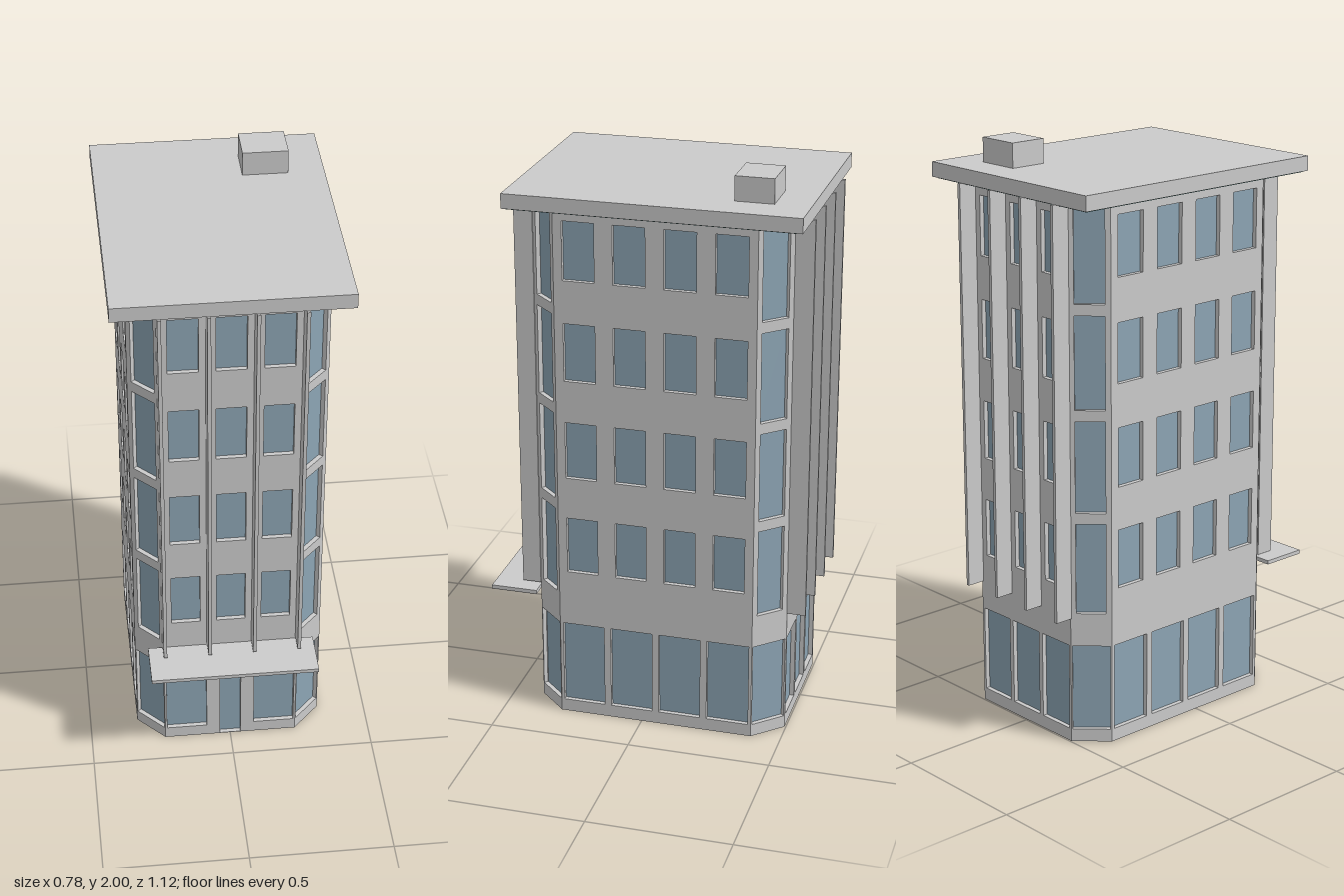
import * as THREE from 'three';

const wallMat = new THREE.MeshStandardMaterial({ color: 0xcccccc, side: THREE.DoubleSide, flatShading: true });
const glassMat = new THREE.MeshStandardMaterial({ color: 0x8da5b4, side: THREE.DoubleSide });
const trimMat = new THREE.MeshStandardMaterial({ color: 0x4a8f8c });

const WALL_TOP = 1.865, RECESS = 0.016, FLOOR = 0.355, FLOORS = 4, MID_Z = -0.05;

function add(parent, name, geometry, material) {
  const mesh = new THREE.Mesh(geometry, material);
  mesh.name = name;
  parent.add(mesh);
  return mesh;
}

// Box given by its limits on each axis
function box(parent, name, [x0, x1], [y0, y1], [z0, z1], material = wallMat) {
  const mesh = add(parent, name, new THREE.BoxGeometry(x1 - x0, y1 - y0, z1 - z0), material);
  mesh.position.set((x0 + x1) / 2, (y0 + y1) / 2, (z0 + z1) / 2);
}

function rectPath(Type, x0, x1, y0, y1) {
  return new Type([[x0, y0], [x1, y0], [x1, y1], [x0, y1]].map(([x, y]) => new THREE.Vector2(x, y)));
}

// Thin wall from plan point a to b, with recessed openings {u, w, y0, y1, name}
function wall(parent, name, a, b, openings) {
  const group = new THREE.Group();
  group.name = name;
  const dx = b[0] - a[0], dz = b[1] - a[1], half = Math.hypot(dx, dz) / 2;
  group.position.set((a[0] + b[0]) / 2, 0, (a[1] + b[1]) / 2);
  group.rotation.y = Math.atan2(-dz, dx);
  const shape = rectPath(THREE.Shape, -half, half, 0, WALL_TOP);
  for (const { u, w, y0, y1, name: part = 'window' } of openings) {
    shape.holes.push(rectPath(THREE.Path, u - w / 2, u + w / 2, y0, y1));
    // Open square tube lining the opening
    const reveal = new THREE.CylinderGeometry(Math.SQRT1_2, Math.SQRT1_2, 1, 4, 1, true)
      .rotateY(Math.PI / 4).rotateX(Math.PI / 2).scale(w, y1 - y0, RECESS);
    add(group, part + 'Reveal', reveal, wallMat).position.set(u, (y0 + y1) / 2, -RECESS / 2);
    add(group, part + 'Pane', new THREE.PlaneGeometry(w, y1 - y0), glassMat)
      .position.set(u, (y0 + y1) / 2, -RECESS);
  }
  add(group, 'wallSurface', new THREE.ShapeGeometry(shape), wallMat);
  parent.add(group);
}

// Evenly spaced openings in one row
function row(count, pitch, w, y0, y1) {
  return Array.from({ length: count }, (_, i) => ({ u: (i - (count - 1) / 2) * pitch, w, y0, y1 }));
}

// The same row repeated on every upper floor
function upperRows(count, pitch, w, y0, y1) {
  return Array.from({ length: FLOORS }, (_, f) => row(count, pitch, w, y0 + f * FLOOR, y1 + f * FLOOR)).flat();
}

export function createModel() {
  const model = new THREE.Group();
  model.name = 'officeBuilding';

  // Openings for each kind of wall
  const shopY = [0.045, 0.35];
  const endUpper = upperRows(3, 0.156, 0.1, 0.552, 0.757);
  const front = [
    ...endUpper, ...row(2, 0.313, 0.143, ...shopY),
    { u: 0, w: 0.074, y0: 0.002, y1: 0.34, name: 'door' },
  ];
  const back = [...endUpper, ...row(3, 0.156, 0.138, ...shopY)];
  const side = [...upperRows(4, 0.173, 0.11, 0.552, 0.757), ...row(4, 0.173, 0.149, ...shopY)];
  const corner = [...upperRows(1, 0, 0.1, 0.467, 0.784), ...row(1, 0, 0.128, ...shopY)];

  // Eight-sided shell with bevelled corners, open at the base
  const X = 0.33, x = 0.235, Z = 0.445, z = 0.345;
  const plan = [[-x, Z], [x, Z], [X, z], [X, -z], [x, -Z], [-x, -Z], [-X, -z], [-X, z]]
    .map(([px, pz]) => [px, pz + MID_Z]);
  const kinds = [front, corner, side, corner, back, corner, side, corner];
  const names = ['frontWall', 'frontLeftCorner', 'leftWall', 'backLeftCorner',
    'backWall', 'backRightCorner', 'rightWall', 'frontRightCorner'];
  kinds.forEach((openings, i) => wall(model, names[i], plan[i], plan[(i + 1) % 8], openings));

  // Vertical fins on the front and back
  for (let i = 0; i < 4; i++) {
    const fx = (i - 1.5) * 0.156;
    box(model, 'frontFin', [fx - 0.006, fx + 0.006], [0.45, WALL_TOP], [0.395, 0.46]);
    box(model, 'backFin', [fx - 0.006, fx + 0.006], [0.45, WALL_TOP], [-0.56, -0.495]);
  }

  // Roof slab, its coloured soffit and the rooftop unit
  box(model, 'roofSlab', [-0.388, 0.388], [WALL_TOP, 1.916], [-0.55, 0.45]);
  box(model, 'roofSoffit', [-0.375, 0.375], [1.86, WALL_TOP + 0.002], [-0.537, 0.437], trimMat);
  box(model, 'rooftopUnit', [0.11, 0.265], [1.91, 2], [-0.43, -0.298]);

  // Entrance canopy with a coloured strip under its front edge
  box(model, 'canopy', [-0.29, 0.29], [0.427, 0.441], [0.395, 0.56]);
  box(model, 'canopyStrip', [-0.275, 0.275], [0.42, 0.428], [0.53, 0.552], trimMat);
  return model;
}
